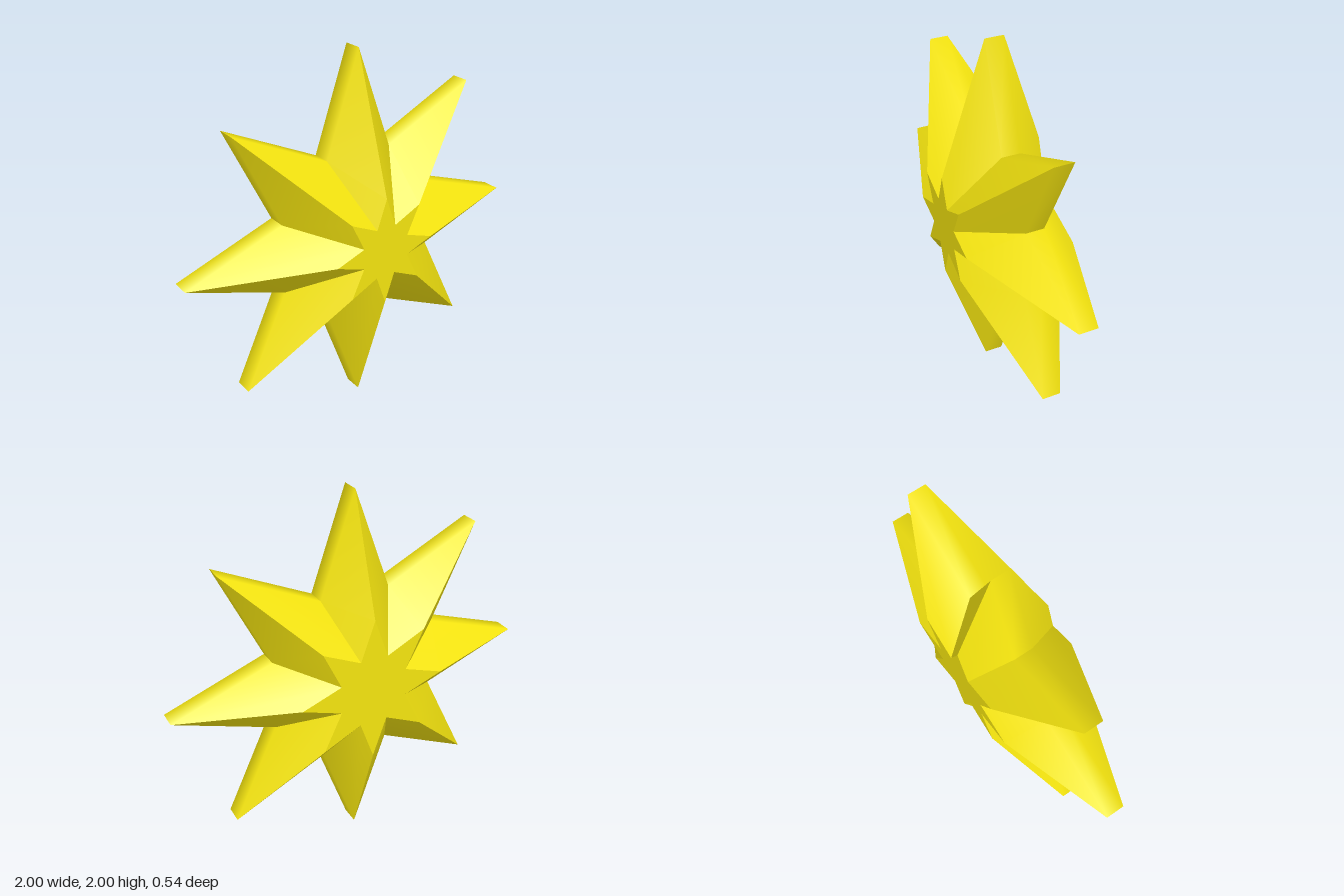
import * as THREE from 'three';

const POINTS = 8;
// Star cross-sections from front to back: [z, tip radius]
const SECTIONS = [[0.27, 0.295], [0.033, 1], [-0.067, 1], [-0.27, 0.4]];

// Corner k of a star outline; even corners are tips, odd ones valleys
function corner(k, radius) {
  const a = Math.PI / 2 + (k * Math.PI) / POINTS;
  const r = k % 2 ? radius * 0.5 : radius;
  return new THREE.Vector2(r * Math.cos(a), r * Math.sin(a));
}

// Side walls: each facet has its own vertices, smooth from front to back, sharp at ridges
function sideGeometry() {
  const pos = [], index = [];
  for (let k = 0; k < POINTS * 2; k++) {
    const base = pos.length / 3;
    SECTIONS.forEach(([z, radius], s) => {
      for (const c of [corner(k, radius), corner(k + 1, radius)]) pos.push(c.x, c.y, z);
      if (s === 0) return;
      const f = base + (s - 1) * 2, b = f + 2;
      index.push(f, b, b + 1, f, b + 1, f + 1);
    });
  }
  const geo = new THREE.BufferGeometry();
  geo.setAttribute('position', new THREE.Float32BufferAttribute(pos, 3));
  geo.setIndex(index);
  geo.computeVertexNormals();
  return geo;
}

// Flat star lid
function capGeometry(radius) {
  const outline = Array.from({ length: POINTS * 2 }, (_, k) => corner(k, radius));
  return new THREE.ShapeGeometry(new THREE.Shape(outline));
}

export function createModel() {
  const group = new THREE.Group();
  group.name = 'star';
  const material = new THREE.MeshStandardMaterial({ color: 0xf5e50f });
  const add = (name, geo, z = 0) => {
    const mesh = new THREE.Mesh(geo, material);
    mesh.name = name;
    mesh.position.set(0, 1, z);
    group.add(mesh);
    return mesh;
  };

  add('starRays', sideGeometry());
  add('frontFace', capGeometry(SECTIONS[0][1]), SECTIONS[0][0]);
  add('backFace', capGeometry(SECTIONS[3][1]), SECTIONS[3][0]).rotation.y = Math.PI;
  return group;
}
